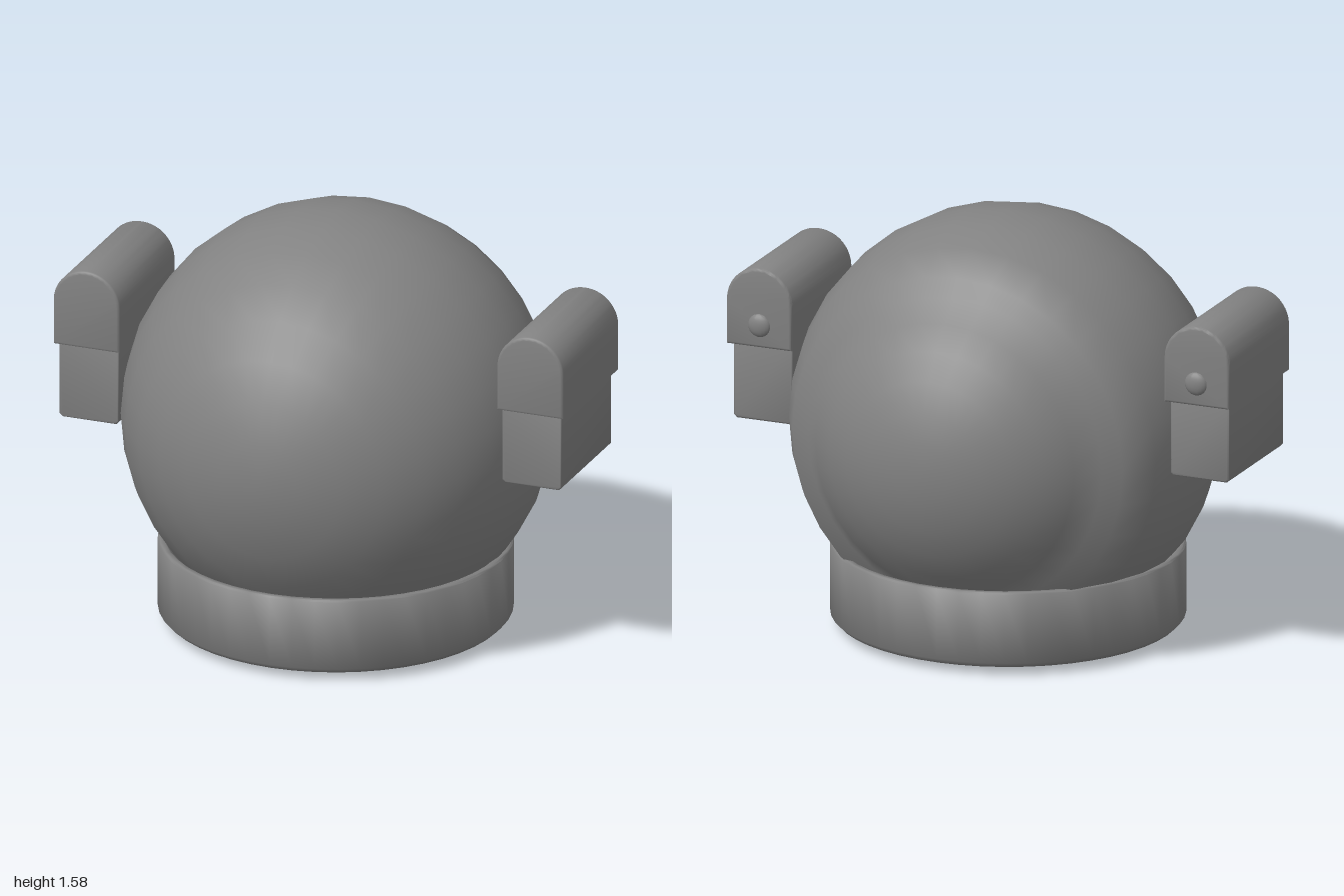
import * as THREE from 'three';
import { toCreasedNormals } from 'three/addons/utils/BufferGeometryUtils.js';

const material = new THREE.MeshStandardMaterial({ color: 0x828282 });

function part(name, geometry, parent) {
  const mesh = new THREE.Mesh(toCreasedNormals(geometry, 1), material);
  mesh.name = name;
  parent.add(mesh);
  return mesh;
}

// Points [radius, height] of an arc, angles in degrees from the front pole
function arc(radius, centre, from, to, steps) {
  return Array.from({ length: steps + 1 }, (_, i) => {
    const a = THREE.MathUtils.degToRad(from + (to - from) * i / steps);
    return new THREE.Vector2(Math.max(0, radius * Math.sin(a)), centre + radius * Math.cos(a));
  });
}

// Arched lid cross-section, centred on x = 0, base at y = 0
function lidShape(halfWidth, height) {
  const s = new THREE.Shape();
  s.moveTo(-halfWidth, 0);
  s.lineTo(halfWidth, 0);
  s.lineTo(halfWidth, height - halfWidth);
  s.absarc(0, height - halfWidth, halfWidth, 0, Math.PI, false);
  s.closePath();
  return s;
}

// Rectangular base cross-section with softened lower corners
function baseShape(halfWidth, height, cut) {
  return new THREE.Shape([
    [-halfWidth + cut, 0], [halfWidth - cut, 0], [halfWidth, cut],
    [halfWidth, height], [-halfWidth, height], [-halfWidth, cut],
  ].map(([x, y]) => new THREE.Vector2(x, y)));
}

// Extrudes a cross-section along z with softened ends
function softExtrude(shape, depth, bevel) {
  return new THREE.ExtrudeGeometry(shape, {
    depth: depth - 2 * bevel, bevelThickness: bevel, bevelSize: bevel,
    bevelOffset: -bevel, bevelSegments: 2, curveSegments: 16,
  }).translate(0, 0, bevel);
}

function createSidePod(side) {
  const pod = new THREE.Group();
  pod.name = side > 0 ? 'leftSidePod' : 'rightSidePod';

  const lid = part('podLid', softExtrude(lidShape(0.13, 0.3), 0.55, 0.01), pod);
  lid.position.set(side * 0.87, 1.02, -0.265);

  const base = part('podBase', softExtrude(baseShape(0.117, 0.31, 0.012), 0.49, 0.006), pod);
  base.position.set(side * 0.868, 0.73, -0.23);

  // Domed button on the rear face
  const button = part('podButton', new THREE.SphereGeometry(0.045, 20, 12), pod);
  button.scale.z = 0.5;
  button.position.set(side * 0.868, 1.105, -0.26);
  return pod;
}

export function createModel() {
  const model = new THREE.Group();
  model.name = 'helmet';

  // Spherical shell turned about the front-to-back axis, stepping in to a smaller rear cap
  const profile = [
    ...arc(0.7, -0.085, 180, 123.3, 6),
    ...arc(0.79, -0.008, 123.75, 0, 11),
  ];
  const shell = part('shell', new THREE.LatheGeometry(profile, 32), model);
  shell.rotation.x = Math.PI / 2;
  shell.position.y = 0.793;

  // Open, thin-walled neck ring with a chamfered lower edge
  const ring = [
    [0.618, 0.035], [0.63, 0.033], [0.648, 0.052], [0.648, 0.314],
    [0.642, 0.32], [0.624, 0.32], [0.618, 0.314], [0.618, 0.035],
  ].map(([r, y]) => new THREE.Vector2(r, y));
  part('neckRing', new THREE.LatheGeometry(ring, 48), model).position.z = 0.012;

  for (const side of [1, -1]) model.add(createSidePod(side));
  return model;
}
